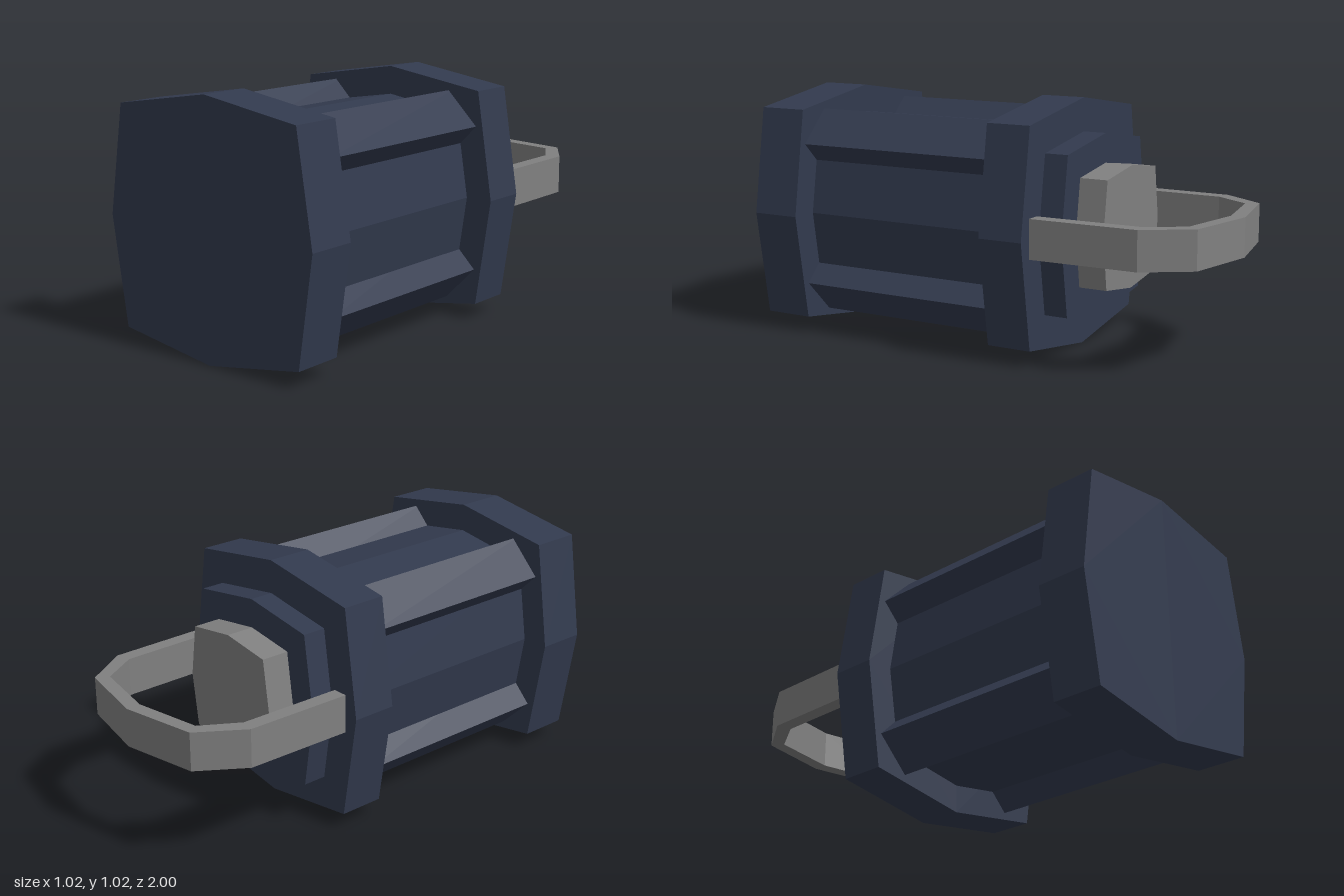
import * as THREE from 'three';

const CY = 0.515; // height of the long axis

export function createModel() {
  const navy = new THREE.MeshStandardMaterial({ color: 0x323a4e });
  navy.name = 'navy casing';
  const grey = new THREE.MeshStandardMaterial({ color: 0x808080 });
  grey.name = 'grey metal';

  const model = new THREE.Group();
  model.name = 'canister';

  // Extrudes an outline along z between two depths
  function prism(name, points, z0, z1, material) {
    const shape = new THREE.Shape(points.map(([x, y]) => new THREE.Vector2(x, y)));
    const geometry = new THREE.ExtrudeGeometry(shape, { depth: z1 - z0, bevelEnabled: false });
    geometry.translate(0, 0, z0);
    const mesh = new THREE.Mesh(geometry, material);
    mesh.name = name;
    mesh.position.y = CY;
    model.add(mesh);
    return mesh;
  }

  // Square outline whose sides bulge out to a point in the middle
  const bulgedSquare = (tip, corner) => [
    [tip, 0], [corner, corner], [0, tip], [-corner, corner],
    [-tip, 0], [-corner, -corner], [0, -tip], [corner, -corner],
  ];

  // Casing, from front to back
  prism('frontCap', bulgedSquare(0.512, 0.443), 0.79, 1, navy);
  prism('core', bulgedSquare(0.395, 0.341), -0.2, 0.85, navy);
  prism('backCap', bulgedSquare(0.512, 0.443), -0.295, -0.105, navy);
  prism('backStep', bulgedSquare(0.373, 0.323), -0.395, -0.29, navy);
  prism('backButton', bulgedSquare(0.252, 0.22), -0.515, -0.39, grey);

  // Four rails set diagonally along the corners of the core
  const rail = [[0.435, 0.298], [0.298, 0.435], [0.14, 0.277], [0.277, 0.14]];
  for (let i = 0; i < 4; i++) {
    prism('cornerRail' + (i + 1), rail, -0.15, 0.82, navy).rotation.z = i * Math.PI / 2;
  }

  // Carrying loop: a flat band drawn in plan and extruded upwards
  const outer = [[0.45, 0.29], [0.442, 0.75], [0.318, 0.937], [0, 1]];
  const inner = [[0.387, 0.29], [0.38, 0.735], [0.287, 0.887], [0, 0.94]];
  const mirrored = (half) => [...half, ...half.slice(0, -1).reverse().map(([x, y]) => [-x, y])];
  const band = [...mirrored(outer), ...mirrored(inner).reverse()];
  const loop = prism('carryLoop', band, -0.08, 0.08, grey);
  loop.rotation.x = -Math.PI / 2;
  loop.position.y = 0.52;

  return model;
}
